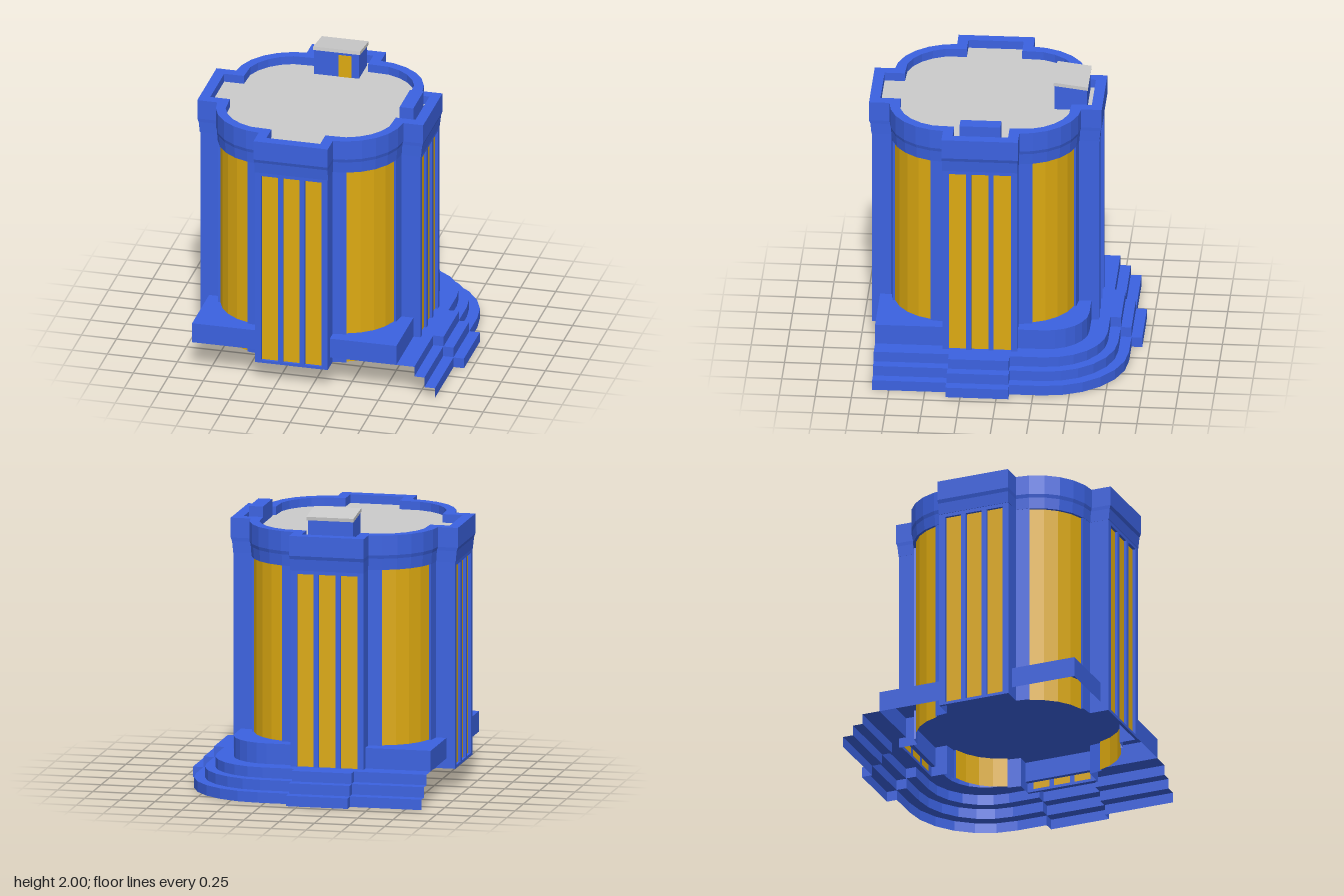
import * as THREE from 'three';

const mat = (color) => new THREE.MeshStandardMaterial({ color, flatShading: true, side: THREE.DoubleSide });
const blue = mat(0x3b62e0);
const amber = mat(0xddaa11);
const grey = mat(0xcccccc);

const ARC = 0.25; // centre of the tower's rounded corners
const BASE = 0.15; // underside of the tower walls
const EAVE = 1.605; // underside of the parapet

function add(parent, name, geometry, material) {
  const mesh = new THREE.Mesh(geometry, material);
  mesh.name = name;
  parent.add(mesh);
  return mesh;
}

function box(parent, name, x0, x1, y0, y1, z0, z1, material) {
  const g = new THREE.BoxGeometry(x1 - x0, y1 - y0, z1 - z0);
  g.translate((x0 + x1) / 2, (y0 + y1) / 2, (z0 + z1) / 2);
  return add(parent, name, g, material);
}

// Skin through a stack of plan outlines: rings = [{ pts: [[x, z], ...], y }, ...]
function loft(rings, closed) {
  const pos = [];
  for (let k = 0; k + 1 < rings.length; k++) {
    const a = rings[k], b = rings[k + 1], n = a.pts.length;
    for (let i = 0; i < (closed ? n : n - 1); i++) {
      const j = (i + 1) % n;
      const v = (r, m) => [r.pts[m][0], r.y, r.pts[m][1]];
      pos.push(...v(a, i), ...v(a, j), ...v(b, j), ...v(a, i), ...v(b, j), ...v(b, i));
    }
  }
  const g = new THREE.BufferGeometry();
  g.setAttribute('position', new THREE.Float32BufferAttribute(pos, 3));
  g.computeVertexNormals();
  return g;
}

const strip = (pts, y0, y1, closed = false) => loft([{ pts, y: y0 }, { pts, y: y1 }], closed);

// Horizontal sheet with the given plan outline
function sheet(pts, y) {
  const shape = new THREE.Shape(pts.map(([x, z]) => new THREE.Vector2(x, -z)));
  return new THREE.ShapeGeometry(shape).rotateX(-Math.PI / 2).translate(0, y, 0);
}

// Points on an arc in plan, angle measured from +x towards +z
function arc(cx, cz, r, from, to, n) {
  return Array.from({ length: n + 1 }, (_, i) => {
    const a = THREE.MathUtils.degToRad(from + ((to - from) * i) / n);
    return [cx + r * Math.cos(a), cz + r * Math.sin(a)];
  });
}

// Tower plan: four square bays joined by rounded corners
function plan(half, ext, r) {
  const side = ARC + Math.sqrt(r * r - (half - ARC) ** 2);
  const quarter = [[-half, ext], [half, ext], [half, side], ...arc(ARC, ARC, r, 75, 15, 4), [side, half]];
  const pts = [];
  for (let q = 0; q < 4; q++) {
    for (let [x, z] of quarter) {
      for (let k = 0; k < q; k++) [x, z] = [z, -x];
      pts.push([x, z]);
    }
  }
  return pts;
}

// One bay with three slot windows, plus the rounded corner to its left
function towerSide() {
  const g = new THREE.Group();
  g.name = 'towerSide';
  const half = 0.26, ext = 0.787, r = 0.4, inner = 0.383, recess = 0.02;

  const rect = (P, x0, x1, y0, y1) =>
    new P([[x0, y0], [x1, y0], [x1, y1], [x0, y1]].map(([x, y]) => new THREE.Vector2(x, y)));
  const face = rect(THREE.Shape, -half, half, BASE, EAVE);
  for (const x of [-0.155, 0, 0.155]) {
    face.holes.push(rect(THREE.Path, x - 0.06, x + 0.06, 0.17, 1.58));
    add(g, 'bayWindow', new THREE.PlaneGeometry(0.12, 1.41).translate(x, 0.875, ext - recess), amber);
  }
  const frame = new THREE.ExtrudeGeometry(face, { depth: recess, bevelEnabled: false });
  add(g, 'bayFrame', frame.translate(0, 0, ext - recess), blue);

  // Bay returns and the piers beside the curved window
  const outer = arc(ARC, ARC, r, 75, 15, 4);
  const glass = arc(ARC, ARC, inner, 75, 15, 4);
  const side = ARC + r;
  add(g, 'pier', strip([[half, ext], [half, side], outer[0], glass[0]], BASE, EAVE), blue);
  add(g, 'pier', strip([glass[4], outer[4], [side, half], [ext, half]], BASE, EAVE), blue);
  add(g, 'curvedWindow', strip(glass, BASE, EAVE), amber);
  return g;
}

// Edge of a step, with a projecting landing on the +x and -z sides
const END = 0.865, CX = 0.3, CZ = -0.305;
function stepPath(r, i) {
  const e = CX + r, b = CZ - r, out = 0.075, t = 0.004 * i;
  return [
    [e, END], [e, 0.352 - t], [e + out, 0.352 - t], [e + out, -0.085 + t], [e, -0.085 + t],
    ...arc(CX, CZ, r, 0, -90, 6),
    [0.082 - t, b], [0.082 - t, b - out], [-0.357 + t, b - out], [-0.357 + t, b], [-END, b],
  ];
}

function createBase() {
  const g = new THREE.Group();
  g.name = 'base';
  const plinth = [[CX + 0.295, END], ...arc(CX, CZ, 0.295, 0, -90, 6), [-END, CZ - 0.295]];
  const paths = [0.57, 0.495, 0.423].map(stepPath);
  paths.push(plinth);
  for (let i = 0; i < 3; i++) {
    const y = 0.0735 * i;
    add(g, 'stepRiser', strip(paths[i], y, y + 0.0735), blue);
    add(g, 'stepTread', sheet([...paths[i], ...[...paths[i + 1]].reverse()], y + 0.0735), blue);
  }
  const ring = [...plinth, [-END, END]];
  add(g, 'plinthSides', strip(ring, 0.22, 0.365, true), blue);
  add(g, 'plinthTop', sheet(ring, 0.365), blue);
  return g;
}

function createRoofHut() {
  const g = new THREE.Group();
  g.name = 'roofHut';
  const walls = box(g, 'hutWalls', -0.305, 0.017, 1.79, 1.945, -0.562, -0.335, blue);
  // Raise the front of the walls to meet the sloping roof
  const p = walls.geometry.attributes.position;
  for (let i = 0; i < p.count; i++) if (p.getY(i) > 1.9 && p.getZ(i) > -0.4) p.setY(i, 1.973);
  box(g, 'hutDoor', -0.13, -0.037, 1.79, 1.955, -0.336, -0.332, amber);
  const roof = add(g, 'hutRoof', new THREE.BoxGeometry(0.335, 0.025, 0.24), grey);
  roof.position.set(-0.142, 1.972, -0.45);
  roof.rotation.x = -0.125;
  return g;
}

export function createModel() {
  const model = new THREE.Group();
  model.name = 'roundedTower';

  const tower = new THREE.Group();
  tower.name = 'tower';
  tower.position.set(-0.141, 0, 0.135);
  for (let q = 0; q < 4; q++) {
    const side = towerSide();
    side.rotation.y = (q * Math.PI) / 2;
    tower.add(side);
  }

  // Parapet from soffit, up the outside, over the coping and down to the roof
  const rings = [
    [0.25, 0.765, 0.38, EAVE], [0.261, 0.79, 0.402, EAVE], [0.263, 0.798, 0.408, 1.685],
    [0.265, 0.807, 0.415, 1.71], [0.265, 0.807, 0.415, 1.85],
    [0.192, 0.733, 0.347, 1.85], [0.192, 0.733, 0.347, 1.79],
  ].map(([h, e, r, y]) => ({ pts: plan(h, e, r), y }));
  add(tower, 'parapet', loft(rings, true), blue);
  add(tower, 'roof', sheet(rings[6].pts, 1.79), grey);
  model.add(tower);

  model.add(createBase(), createRoofHut());
  box(model, 'roofVent', 0.467, 0.565, 1.79, 1.912, -0.002, 0.282, blue);
  return model;
}
